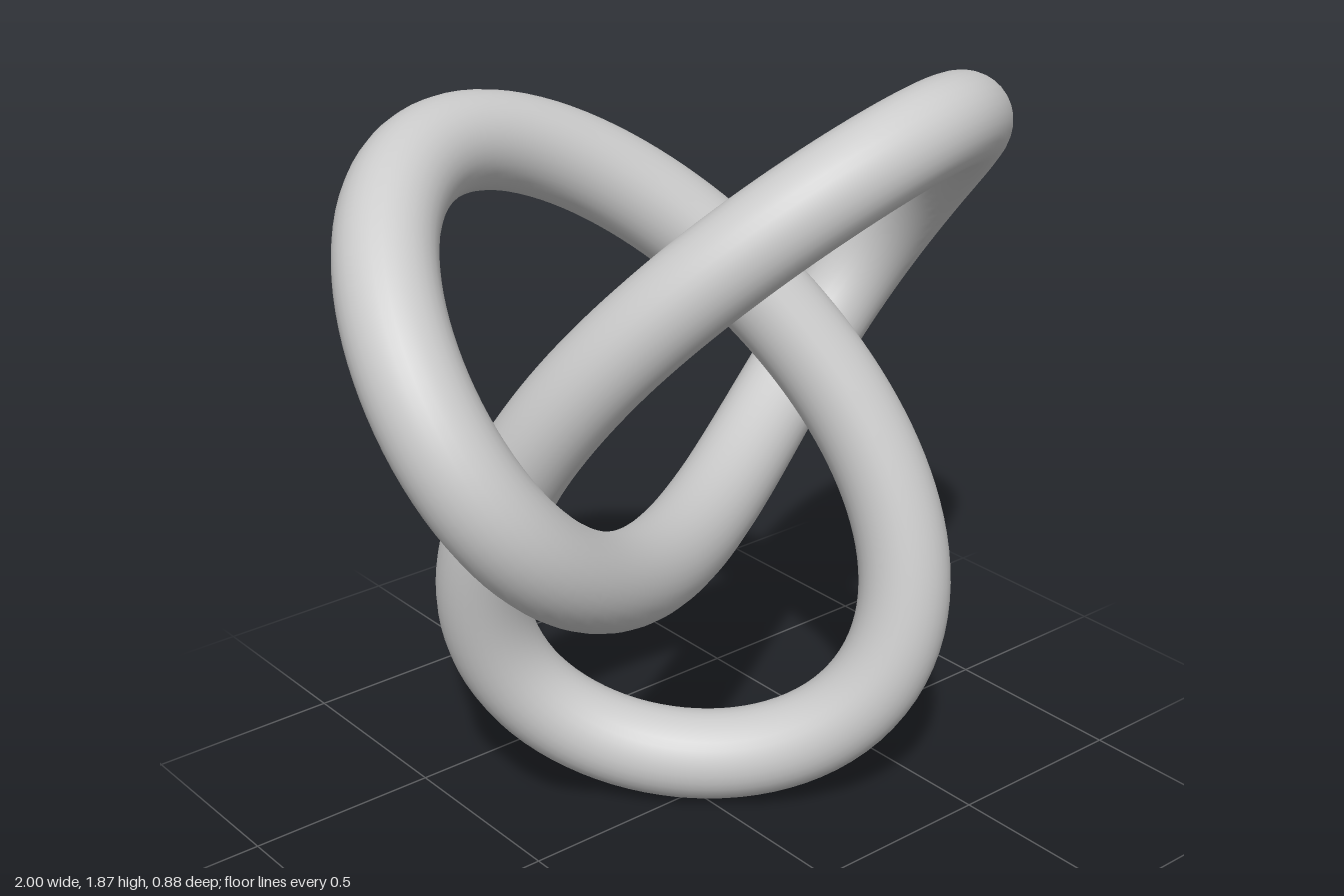
import * as THREE from 'three';

const SCALE = 0.3233; // size of the knot's centre line
const RADIUS = 0.115; // thickness of the tube

// Closed centre line of a three-lobed knot
class TrefoilCurve extends THREE.Curve {
  getPoint(u, target = new THREE.Vector3()) {
    const t = u * Math.PI * 2;
    return target.set(
      Math.sin(t) + 2 * Math.sin(2 * t),
      Math.cos(t) - 2 * Math.cos(2 * t),
      -Math.sin(3 * t)
    ).multiplyScalar(SCALE);
  }
}

export function createModel() {
  const group = new THREE.Group();
  group.name = 'trefoilKnot';

  // One continuous round tube, standing on the tip of its lowest lobe
  const knot = new THREE.Mesh(
    new THREE.TubeGeometry(new TrefoilCurve(), 256, RADIUS, 32, true),
    new THREE.MeshStandardMaterial({ color: 0xcccccc })
  );
  knot.name = 'knotTube';
  knot.position.y = 3 * SCALE + RADIUS;
  group.add(knot);

  return group;
}
